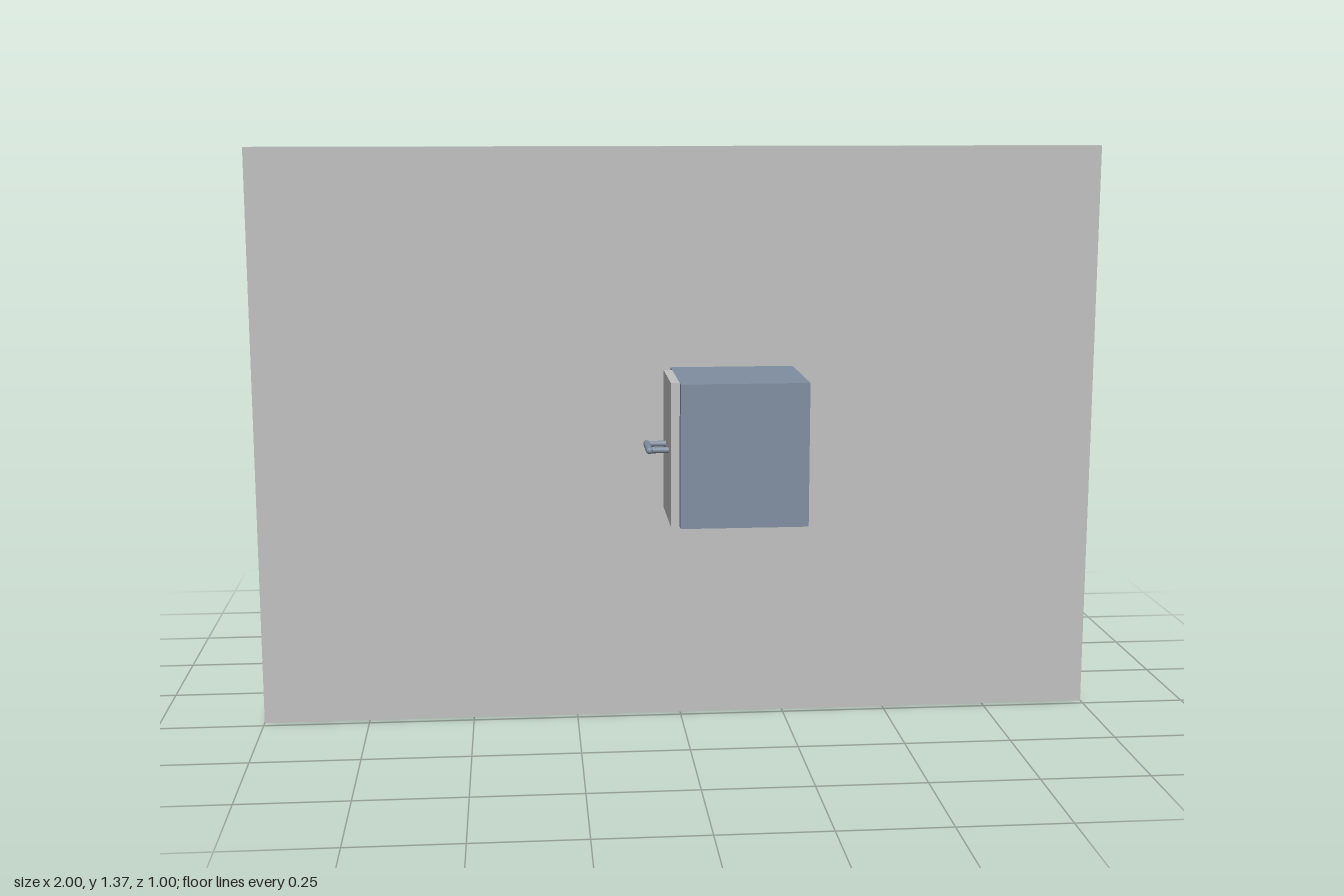
import * as THREE from 'three';

export function createModel() {
  const model = new THREE.Group();
  const material = (name, color) => {
    const m = new THREE.MeshStandardMaterial({ color });
    m.name = name;
    return m;
  };
  const paleGrey = material('pale grey', 0xc0c0c0);
  const charcoal = material('charcoal', 0x404044);
  const slateBlue = material('slate blue', 0x808ea0);

  const add = (name, geometry, mat, x, y, z, parent = model) => {
    const mesh = new THREE.Mesh(geometry, mat);
    mesh.name = name;
    mesh.position.set(x, y, z);
    parent.add(mesh);
    return mesh;
  };
  // Box given by its lower and upper corners
  const addBox = (name, mat, [x0, y0, z0], [x1, y1, z1]) =>
    add(name, new THREE.BoxGeometry(x1 - x0, y1 - y0, z1 - z0), mat,
      (x0 + x1) / 2, (y0 + y1) / 2, (z0 + z1) / 2);

  // Upright table top
  addBox('tableTop', paleGrey, [-1, 0, 0.197], [1, 1.367, 0.23]);

  // Four square legs reaching backwards
  for (const x of [-0.94, 0.94]) {
    for (const y of [0.06, 1.309]) {
      addBox('leg', charcoal, [x - 0.024, y - 0.024, -0.5], [x + 0.024, y + 0.024, 0.197]);
    }
  }

  // Cabinet passing through the top, with a drawer front on its side
  addBox('cabinet', slateBlue, [-0.023, 0.521, 0.083], [0.268, 0.85, 0.5]);
  addBox('drawerFront', paleGrey, [-0.043, 0.521, 0.272], [-0.023, 0.85, 0.475]);

  // Bar handle on two posts
  const handle = new THREE.Group();
  handle.name = 'handle';
  handle.position.set(-0.043, 0.686, 0.373);
  model.add(handle);
  const bar = add('handleBar', new THREE.CapsuleGeometry(0.008, 0.09, 6, 16), slateBlue,
    -0.044, 0, 0, handle);
  bar.rotation.x = Math.PI / 2;
  for (const z of [-0.04, 0.04]) {
    const post = add('handlePost', new THREE.CylinderGeometry(0.007, 0.007, 0.044, 16), slateBlue,
      -0.022, 0, z, handle);
    post.rotation.z = Math.PI / 2;
  }

  return model;
}
